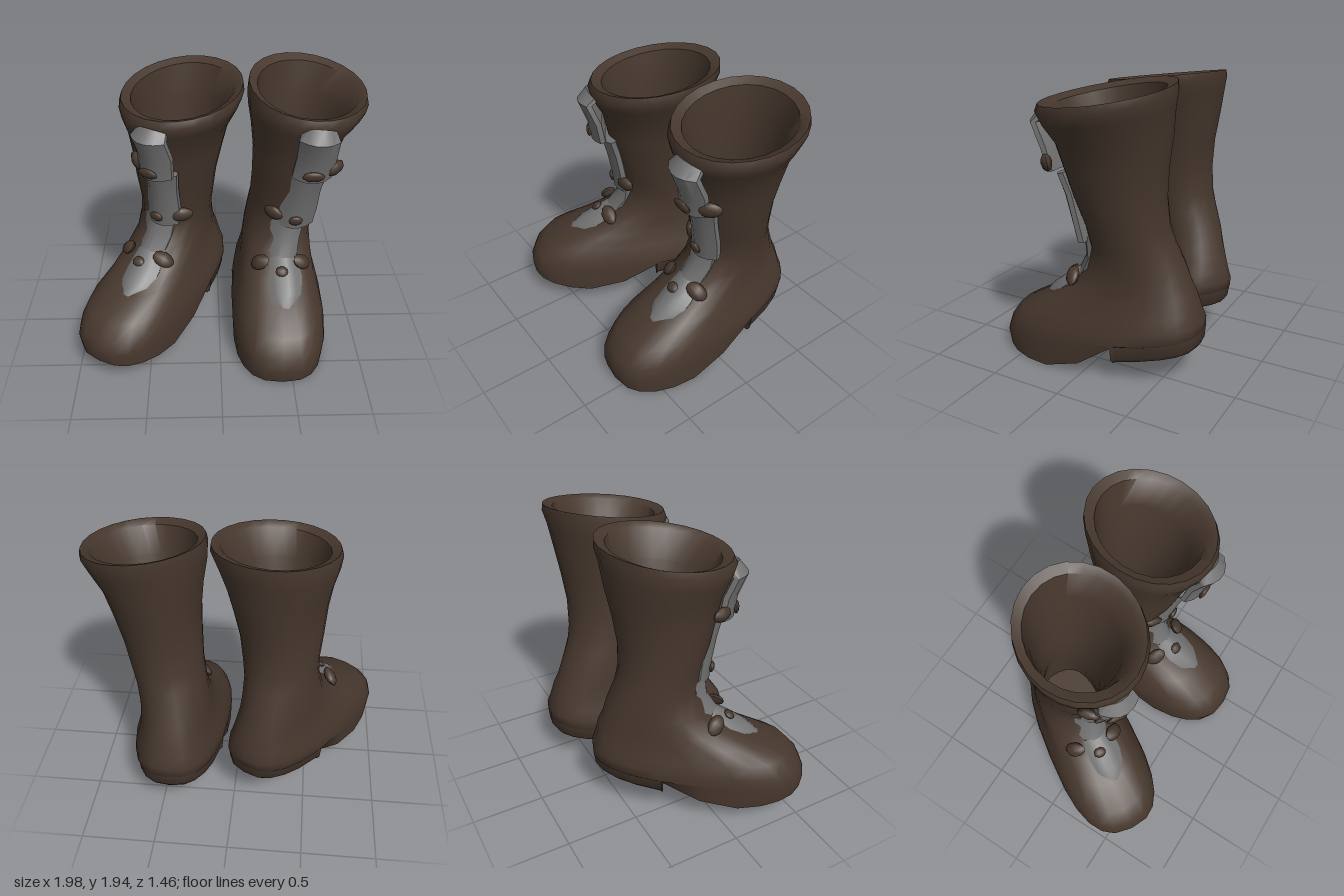
import * as THREE from 'three';
import { toCreasedNormals } from 'three/addons/utils/BufferGeometryUtils.js';

const N = 24;

// Skin a list of closed rings (ascending, counter-clockwise from above) and cap both ends.
function loft(rings) {
  const n = rings[0].length, idx = [];
  for (let i = 0; i < rings.length - 1; i++)
    for (let j = 0; j < n; j++) {
      const k = (j + 1) % n, a = i * n, b = a + n;
      idx.push(a + j, a + k, b + k, a + j, b + k, b + j);
    }
  const top = (rings.length - 1) * n;
  for (let j = 0; j < n / 2; j++) {
    const a = j, b = j + 1, c = n - j - 1, d = (n - j) % n;
    for (const [p, q, r] of [[a, b, c], [a, c, d]]) {
      if (p === q || q === r || p === r) continue;
      idx.push(r, q, p, top + p, top + q, top + r);
    }
  }
  const g = new THREE.BufferGeometry();
  g.setAttribute('position', new THREE.Float32BufferAttribute(rings.flat(2), 3));
  g.setIndex(idx);
  return g;
}

// Underside curve: flat forefoot rising into the arch before the heel.
const SOLE = [[-0.73, 0.33], [-0.23, 0.27], [0.05, 0.06], [0.3, 0.0], [0.73, 0.02]];
function soleY(z) {
  for (let i = 1; i < SOLE.length; i++) {
    const [z0, y0] = SOLE[i - 1], [z1, y1] = SOLE[i];
    if (z <= z1) return y0 + (y1 - y0) * Math.max(0, (z - z0) / (z1 - z0));
  }
  return 0.02;
}

// One ring from its front point, back point, centre x and half width.
function bootRing([zF, yF, zB, yB, cx, hw], bottom) {
  const shaft = THREE.MathUtils.smoothstep(yB, 0.5, 0.9);
  const e = 0.75 + 0.25 * shaft, egg = 0.07 * (1 - shaft), ring = [];
  const pow = v => Math.sign(v) * Math.pow(Math.abs(v), e);
  for (let j = 0; j < N; j++) {
    const a = j / N * Math.PI * 2, c = pow(Math.cos(a)), s = pow(Math.sin(a));
    const t = (c + 1) / 2, z = zB + (zF - zB) * t;
    ring.push([cx + hw * s * (1 + egg * c), bottom ? soleY(z) : yB + (yF - yB) * t, z]);
  }
  return ring;
}

// Sole, vamp, ankle, shaft, rolled collar, then back down the lining.
const BODY = [
  [0.71, 0.02, -0.70, 0.27, 0, 0.325],
  [0.73, 0.12, -0.73, 0.36, 0, 0.335],
  [0.70, 0.21, -0.73, 0.43, 0, 0.325],
  [0.62, 0.32, -0.70, 0.50, 0, 0.30],
  [0.42, 0.43, -0.67, 0.60, 0, 0.268],
  [0.24, 0.54, -0.63, 0.68, 0, 0.255],
  [0.08, 0.68, -0.59, 0.79, 0.005, 0.243],
  [0.03, 0.85, -0.53, 0.92, 0.025, 0.243],
  [0.05, 1.00, -0.50, 1.03, 0.05, 0.25],
  [0.12, 1.20, -0.49, 1.22, 0.075, 0.267],
  [0.17, 1.40, -0.51, 1.42, 0.1, 0.292],
  [0.21, 1.55, -0.54, 1.62, 0.115, 0.325],
  [0.27, 1.67, -0.56, 1.79, 0.145, 0.38],
  [0.30, 1.75, -0.58, 1.88, 0.16, 0.40],
  [0.28, 1.80, -0.575, 1.93, 0.16, 0.39],
  [0.21, 1.78, -0.51, 1.90, 0.16, 0.335],
  [0.14, 1.60, -0.48, 1.70, 0.12, 0.28],
  [0.05, 1.20, -0.44, 1.22, 0.06, 0.215],
  [-0.03, 0.85, -0.46, 0.90, 0.03, 0.19],
  [-0.01, 0.60, -0.52, 0.62, 0, 0.19],
  [0.03, 0.34, -0.56, 0.40, 0, 0.2],
];

// Tongue pieces, bottom to top: [z, y, centre x, half width].
const TONGUE = [
  [[0.42, 0.43, 0.03, 0.1], [0.35, 0.51, 0.03, 0.13], [0.23, 0.60, 0.03, 0.13], [0.13, 0.68, 0.02, 0.11]],
  [[0.16, 0.64, 0.02, 0.1], [0.08, 0.78, 0.04, 0.11], [0.075, 0.93, 0.06, 0.12]],
  [[0.1, 0.89, 0.1, 0.13], [0.12, 1.02, 0.12, 0.13], [0.16, 1.2, 0.14, 0.12], [0.2, 1.34, 0.16, 0.13]],
  [[0.27, 1.35, 0.17, 0.13], [0.3, 1.5, 0.19, 0.13], [0.37, 1.67, 0.19, 0.13], [0.31, 1.76, 0.19, 0.11]],
];

// Padded strip with a bowed front.
function strip(path) {
  return loft(path.map(([z, y, cx, hw], i) => {
    const a = path[Math.max(0, i - 1)], b = path[Math.min(path.length - 1, i + 1)];
    const dz = b[0] - a[0], dy = b[1] - a[1], len = Math.hypot(dz, dy);
    const at = (u, d) => [cx + u * hw, y - dz / len * d, z + dy / len * d];
    const ring = [];
    for (let k = 0; k < 6; k++) {
      const u = -1 + k * 0.4;
      ring.push(at(u, -0.065 * u * u));
    }
    return [...ring, at(0.95, -0.1), at(-0.95, -0.1)];
  }));
}

// Heel block: the rear of the sole outline carried down to a sloping base.
function heel() {
  const front = -0.24;
  const level = (row, y0, slope) => bootRing(row).map(([x, , z]) => {
    const zc = Math.min(z, front);
    return [x, y0 + slope * (front - zc), zc];
  });
  return loft([
    level([0.69, 0, -0.70, 0, 0, 0.29], 0.15, 0.21),
    level([0.71, 0, -0.725, 0, 0, 0.315], 0.18, 0.21),
    level([0.73, 0, -0.73, 0, 0, 0.325], 0.28, 0.164),
  ]);
}

// inner is the sign of x that faces the other boot.
function makeBoot(name, mats, { inner, lift, pitch, lean, tilt }) {
  const boot = new THREE.Group();
  boot.name = name;
  // Each boot sags a little differently.
  const add = (part, geo, mat) => {
    const p = geo.attributes.position;
    for (let i = 0; i < p.count; i++) {
      const x = p.getX(i), y = p.getY(i), z = p.getZ(i), h = y / 1.9;
      p.setXYZ(i, x + lean[0] * h,
        y + (lift + pitch * z) * (1 - h) - tilt * (x - 0.16) * Math.pow(h, 6),
        z + lean[1] * h);
    }
    geo.deleteAttribute('normal');
    geo.deleteAttribute('uv');
    const mesh = new THREE.Mesh(toCreasedNormals(geo, 0.9), mat);
    mesh.name = part;
    boot.add(mesh);
  };
  add('bootBody', loft(BODY.map((r, i) => bootRing(r, i === 0))), mats.leather);
  add('heel', heel(), mats.leather);
  TONGUE.forEach((path, i) => add('tongue' + (i + 1), strip(path), mats.tongue));

  // Buckle studs and flat strap ends: x, y, z, slope, stud width, strap sides.
  for (const [x, y, z, slope, w, sides] of [
    [0.17, 1.41, 0.285, 0.2, 0.075, [-inner]],
    [0.1, 0.965, 0.115, 0.2, 0.05, [inner]],
    [0.01, 0.61, 0.225, -0.9, 0.045, [-1, 1]],
  ]) {
    const stud = new THREE.SphereGeometry(1, 10, 6);
    stud.scale(w, 0.038, 0.02).rotateX(slope).translate(x, y, z);
    add('buckleStud', stud, mats.leather);
    for (const side of sides) {
      const end = new THREE.SphereGeometry(1, 8, 6);
      end.scale(0.08, 0.055, 0.035).rotateY(side * 0.7).rotateX(slope)
        .translate(x + side * 0.15, y + 0.02, z - 0.09);
      add('strapEnd', end, mats.leather);
    }
  }
  return boot;
}

export function createModel() {
  const material = (name, color) => {
    const m = new THREE.MeshStandardMaterial({ color });
    m.name = name;
    return m;
  };
  const mats = { leather: material('brown leather', 0x46372d), tongue: material('grey tongue', 0x727272) };
  const model = new THREE.Group();
  model.name = 'pairOfBoots';

  const left = makeBoot('leftBoot', mats, { inner: -1, lift: 0, pitch: 0, lean: [0, 0], tilt: 0.1 });
  left.position.x = 0.43;
  const right = makeBoot('rightBoot', mats,
    { inner: 1, lift: 0.105, pitch: 0.08, lean: [-0.055, -0.115], tilt: 0.02 });
  right.position.set(-0.465, 0, 0.035);
  right.rotation.y = -0.56;
  model.add(left, right);
  return model;
}
